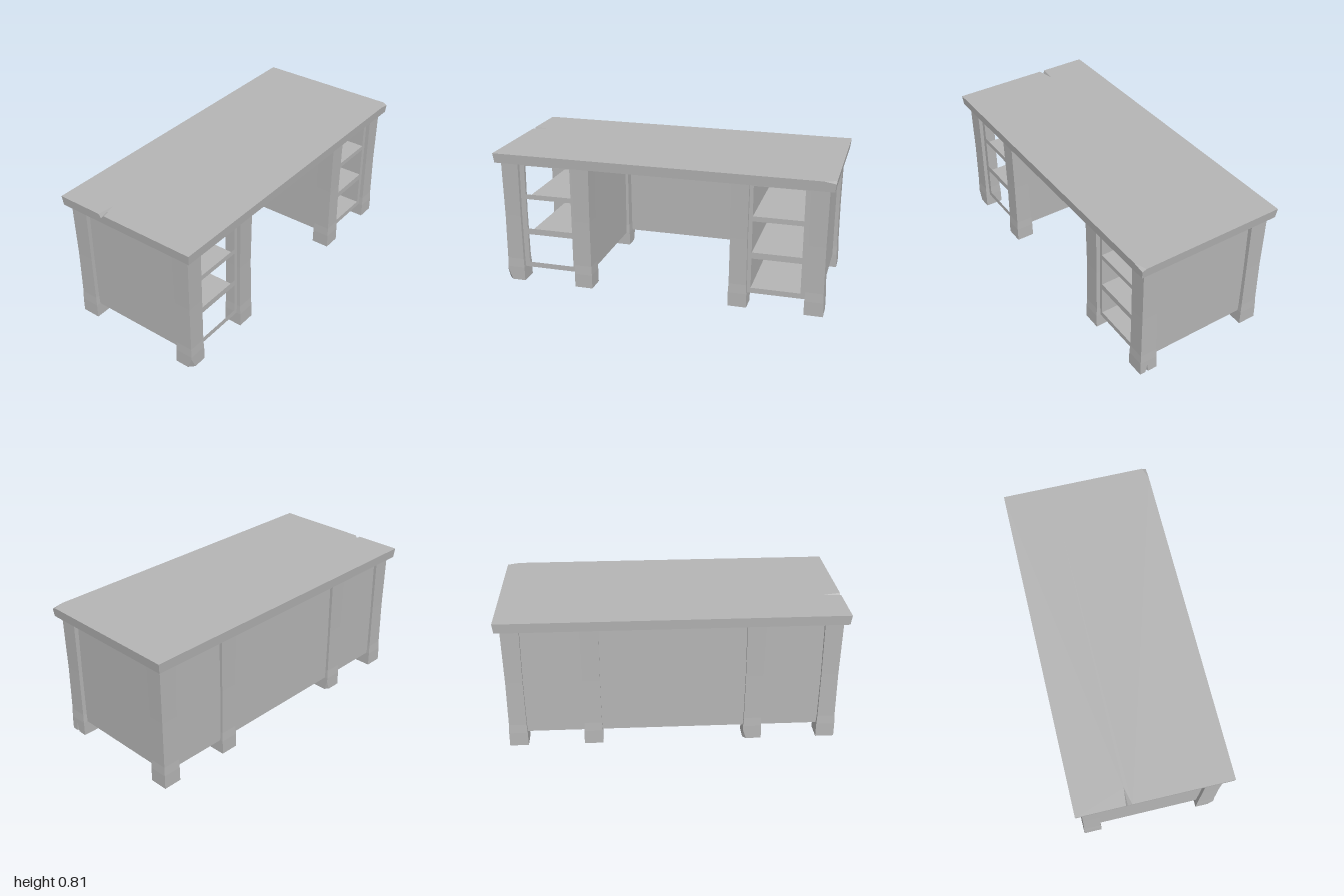
import * as THREE from 'three';
import { ConvexGeometry } from 'three/addons/geometries/ConvexGeometry.js';

const grey = new THREE.MeshStandardMaterial({ color: 0xb4b4b4 });
grey.name = 'weathered grey';

// Convex block between two level rectangles [x0, x1, z0, z1, y].
// Each chip cuts one corner: corner [ix, iy, iz] (0 = low, 1 = high), size [dx, dy, dz].
function block(name, bottom, top, chips = []) {
  const ends = [bottom, top];
  const point = (ix, iy, iz) => new THREE.Vector3(ends[iy][ix], ends[iy][4], ends[iy][2 + iz]);
  const points = [];
  for (let i = 0; i < 8; i++) {
    const c = [i & 1, (i >> 1) & 1, (i >> 2) & 1];
    const chip = chips.find((k) => k.corner.every((v, a) => v === c[a]));
    if (!chip) {
      points.push(point(...c));
      continue;
    }
    // slide along each of the three edges leaving the corner
    for (let a = 0; a < 3; a++) {
      const other = c.map((v, b) => (a === b ? 1 - v : v));
      const from = point(...c);
      const to = point(...other);
      points.push(from.lerp(to, chip.size[a] / from.distanceTo(to)));
    }
  }
  const mesh = new THREE.Mesh(new ConvexGeometry(points), grey);
  mesh.name = name;
  return mesh;
}

// Square section of a leg
const square = (x, z, r, y) => [x - r, x + r, z - r, z + r, y];

function makeLeg(name, x, z, chips, notched) {
  const leg = new THREE.Group();
  leg.name = name;
  const rings = [[0, 0.055], [0.085, 0.0545], [0.14, 0.0515], [0.42, 0.0495], [0.757, 0.053]]
    .map(([y, r]) => square(x, z, r, y));

  if (notched) {
    // foot split lengthwise so that two chips form a V notch
    const split = z + 0.01;
    const back = (s) => [s[0], s[1], s[2], split, s[4]];
    const front = (s) => [s[0], s[1], split, s[3], s[4]];
    const size = [0.02, 0.055, 0.01];
    leg.add(block('footBack', back(rings[0]), back(rings[1]), [{ corner: [1, 0, 1], size }]));
    leg.add(block('footFront', front(rings[0]), front(rings[1]), [{ corner: [1, 0, 0], size }]));
  } else {
    leg.add(block('foot', rings[0], rings[1], chips));
  }
  for (let i = 1; i < rings.length - 1; i++) leg.add(block('post', rings[i], rings[i + 1]));
  return leg;
}

// Pedestal carcass with three open drawer bays
function makePedestal(name, side) {
  const rect = (Type, x0, x1, y0, y1) => new Type([
    new THREE.Vector2(side * x0, y0), new THREE.Vector2(side * x1, y0),
    new THREE.Vector2(side * x1, y1), new THREE.Vector2(side * x0, y1),
  ]);
  const shape = rect(THREE.Shape, 0.44, 0.94, 0.085, 0.757);
  for (const [y0, y1] of [[0.117, 0.3], [0.337, 0.526], [0.556, 0.735]]) {
    shape.holes.push(rect(THREE.Path, 0.545, 0.832, y0, y1));
  }
  const geometry = new THREE.ExtrudeGeometry(shape, { depth: 0.755, bevelEnabled: false });
  geometry.translate(0, 0, -0.37);
  const mesh = new THREE.Mesh(geometry, grey);
  mesh.name = name;
  return mesh;
}

export function createModel() {
  const desk = new THREE.Group();
  desk.name = 'desk';

  // Tabletop in two pieces meeting at a crack, with a broken front corner
  const crack = -0.155;
  const y0 = 0.757, y1 = 0.815;
  const top = new THREE.Group();
  top.name = 'tabletop';
  top.add(block('tabletopBack',
    [-0.993, 0.993, -0.441, crack, y0], [-1, 1, -0.446, crack, y1],
    [{ corner: [0, 1, 1], size: [0.1, 0.025, 0.011] }]));
  top.add(block('tabletopFront',
    [-0.993, 0.993, crack, 0.441, y0], [-1, 1, crack, 0.446, y1],
    [{ corner: [0, 1, 0], size: [0.1, 0.025, 0.024] },
      { corner: [1, 1, 1], size: [0.07, 0.011, 0.026] }]));
  desk.add(top);

  // Pedestals and the full-width back panel
  desk.add(makePedestal('leftPedestal', 1), makePedestal('rightPedestal', -1));
  const panel = new THREE.Mesh(new THREE.BoxGeometry(1.88, 0.672, 0.022), grey);
  panel.name = 'backPanel';
  panel.position.set(0, 0.421, -0.38);
  desk.add(panel);

  // Eight waisted legs, some with damaged feet
  for (const x of [-0.913, -0.472, 0.472, 0.913]) {
    for (const z of [-0.357, 0.357]) {
      const chips = [];
      if (x === -0.913 && z > 0) chips.push({ corner: [0, 0, 1], size: [0.03, 0.07, 0.03] });
      if (x === -0.472 && z < 0) chips.push({ corner: [1, 0, 0], size: [0.02, 0.06, 0.02] });
      const name = (z > 0 ? 'front' : 'back') + (Math.abs(x) > 0.7 ? 'Outer' : 'Inner') +
        (x > 0 ? 'Left' : 'Right') + 'Leg';
      desk.add(makeLeg(name, x, z, chips, x === 0.913 && z > 0));
    }
  }
  return desk;
}
